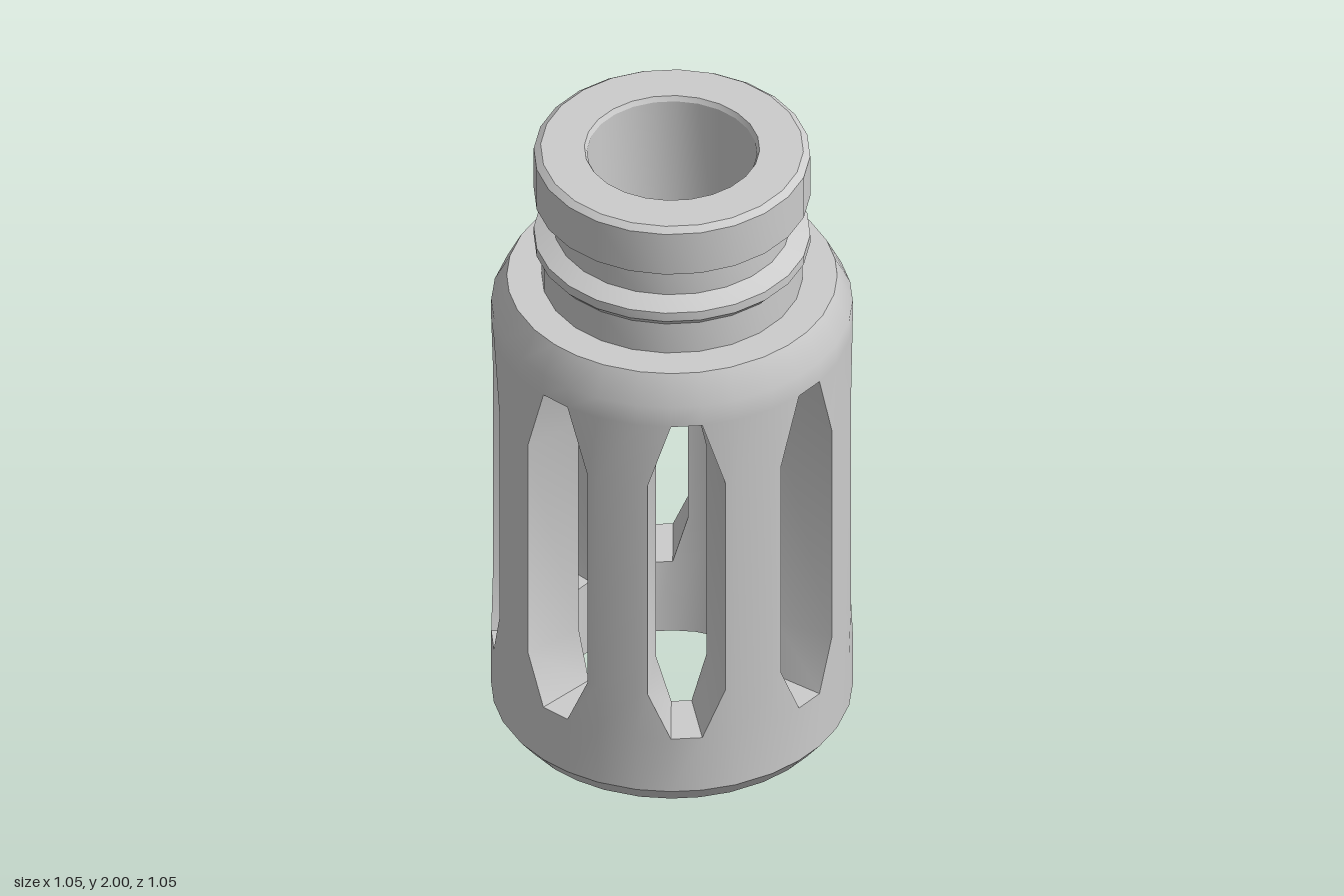
import * as THREE from 'three';
import { toCreasedNormals } from 'three/addons/utils/BufferGeometryUtils.js';

const SLOTS = 8;
const STEP = 360 / SLOTS;
const R_OUT = 0.525, R_IN = 0.34;
// Slot outline: [height, half-angle in degrees]
const SLOT = [[0.25, 5], [0.41, 12.5], [1.16, 12.5], [1.38, 5]];

const material = new THREE.MeshStandardMaterial({ color: 0xcccccc });

// Point on the wall at an angle in degrees, measured from the front
function polar(r, y, deg) {
  const t = THREE.MathUtils.degToRad(deg);
  return [r * Math.sin(t), y, r * Math.cos(t)];
}

// Hollow cage pierced by radial slots
function cageGeometry() {
  const positions = [];
  const quad = (a, b, c, d) => positions.push(...a, ...b, ...c, ...a, ...c, ...d);

  // Profile [radius, height, half-angle]: down the bore, then up the outside
  const rows = [
    [R_IN, 1.47, 5],
    ...[...SLOT].reverse().map(([y, h]) => [R_IN, y, h]),
    [R_IN, 0, 5], [0.478, 0, 5], [R_OUT, 0.06, 5],
    ...SLOT.map(([y, h]) => [R_OUT, y, h]),
    [R_OUT, 1.45, 5], [0.48, 1.54, 5], [0.36, 1.54, 5],
  ];
  const inSlot = (y) => y >= SLOT[0][0] && y <= SLOT[3][0];
  const columns = (h) => [-h, h, 16, STEP - 16, STEP - h];

  for (let s = 0; s < SLOTS; s++) {
    const base = s * STEP;

    // Inner and outer skins, left open across the slot
    for (let i = 0; i < rows.length - 1; i++) {
      const [r0, y0, h0] = rows[i], [r1, y1, h1] = rows[i + 1];
      const c0 = columns(h0), c1 = columns(h1);
      const open = inSlot(y0) && inSlot(y1);
      for (let k = open ? 1 : 0; k < 4; k++) {
        quad(polar(r0, y0, base + c0[k]), polar(r0, y0, base + c0[k + 1]),
          polar(r1, y1, base + c1[k + 1]), polar(r1, y1, base + c1[k]));
      }
    }

    // Slot side walls
    for (let i = 0; i < SLOT.length - 1; i++) {
      const [y0, h0] = SLOT[i], [y1, h1] = SLOT[i + 1];
      for (const side of [1, -1]) {
        const a0 = base + side * h0, a1 = base + side * h1;
        const wall = [polar(R_OUT, y0, a0), polar(R_OUT, y1, a1),
          polar(R_IN, y1, a1), polar(R_IN, y0, a0)];
        quad(...(side > 0 ? wall : wall.reverse()));
      }
    }

    // Slot floor and ceiling
    for (const [y, h] of [SLOT[0], SLOT[3]]) {
      const end = [polar(R_OUT, y, base - h), polar(R_OUT, y, base + h),
        polar(R_IN, y, base + h), polar(R_IN, y, base - h)];
      quad(...(y < 1 ? end : end.reverse()));
    }
  }

  const geometry = new THREE.BufferGeometry();
  geometry.setAttribute('position', new THREE.Float32BufferAttribute(positions, 3));
  return toCreasedNormals(geometry, 0.55);
}

// Neck: grooved outside, straight bore inside, with a ledge at its foot
function neckGeometry() {
  const profile = [
    [0.38, 1.53], [0.38, 1.645], [0.402, 1.67], [0.402, 1.7], [0.345, 1.725],
    [0.345, 1.805], [0.402, 1.84], [0.402, 1.985], [0.382, 2],
    [0.255, 2], [0.247, 1.985], [0.247, 1.46], [0.36, 1.46],
  ].map(([r, y]) => new THREE.Vector2(r, y));
  const sides = 24;
  const lathe = new THREE.LatheGeometry(profile, sides, Math.PI / sides);
  return toCreasedNormals(lathe, 0.4);
}

export function createModel() {
  const group = new THREE.Group();
  group.name = 'slottedSleeve';

  const cage = new THREE.Mesh(cageGeometry(), material);
  cage.name = 'slottedCage';

  const neck = new THREE.Mesh(neckGeometry(), material);
  neck.name = 'groovedNeck';

  group.add(cage, neck);
  return group;
}
